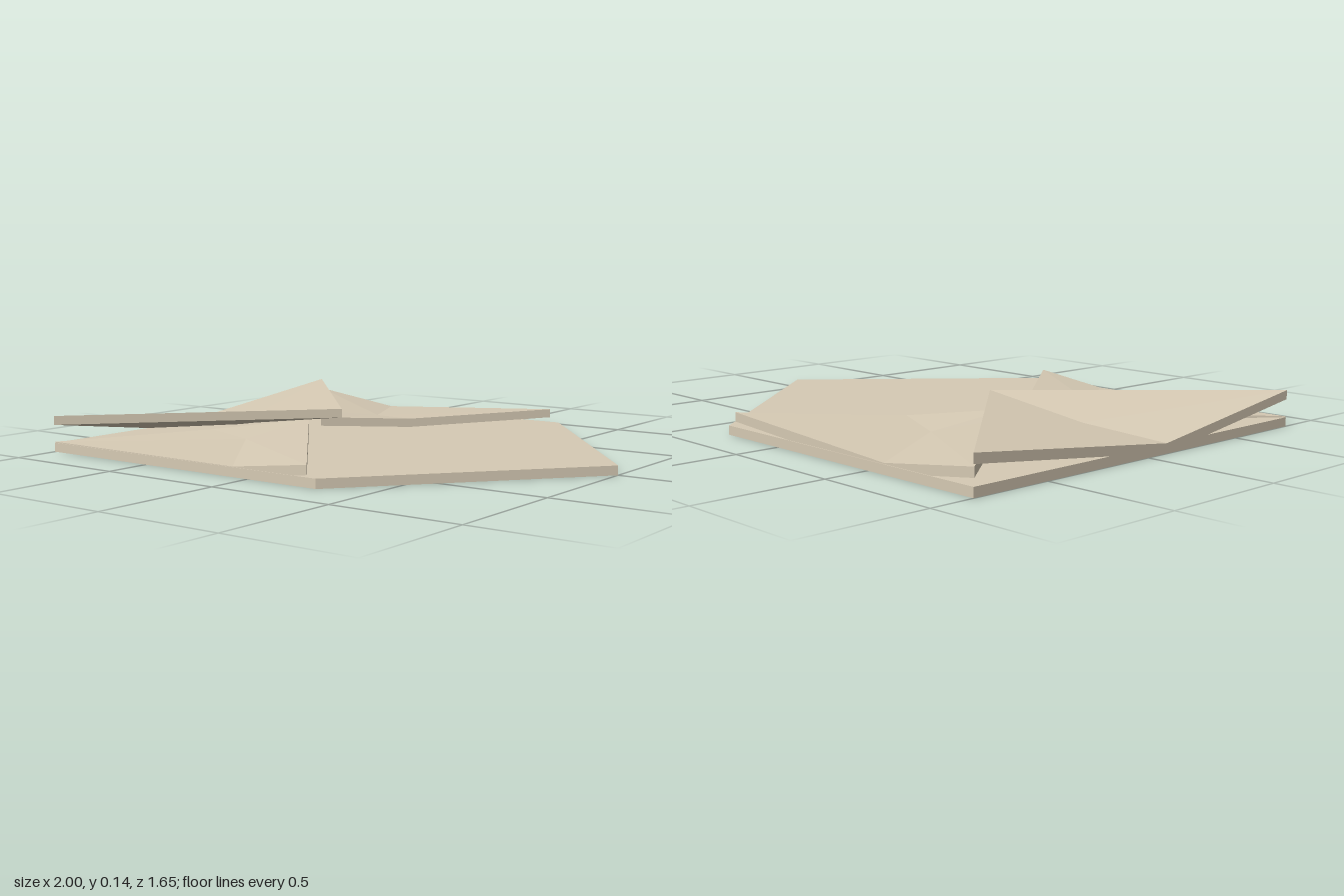
import * as THREE from 'three';

const T = 0.035; // paper thickness
const paper = new THREE.MeshStandardMaterial({ color: 0xd6cab4 });
paper.name = 'paper';
paper.flatShading = true;

// A sheet of even thickness: a fan from a centre point to an outline.
// Points are [x, y of the underside, z].
function sheet(name, outline, centre) {
  let area = 0;
  outline.forEach((a, i) => {
    const b = outline[(i + 1) % outline.length];
    area += a[2] * b[0] - a[0] * b[2];
  });
  const ring = area > 0 ? outline : [...outline].reverse();
  const up = ([x, y, z]) => [x, y + T, z];
  const pos = [];
  const tri = (a, b, c) => pos.push(...a, ...b, ...c);
  ring.forEach((a, i) => {
    const b = ring[(i + 1) % ring.length];
    tri(up(centre), up(a), up(b)); // upper face
    tri(centre, b, a); // underside
    tri(a, b, up(b)); // cut edge
    tri(a, up(b), up(a));
  });
  const geo = new THREE.BufferGeometry();
  geo.setAttribute('position', new THREE.Float32BufferAttribute(pos, 3));
  geo.computeVertexNormals();
  const mesh = new THREE.Mesh(geo, paper);
  mesh.name = name;
  return mesh;
}

export function createModel() {
  const group = new THREE.Group();
  group.name = 'openEnvelope';

  // Back sheet with the open pointed flap
  group.add(sheet('backSheet', [
    [-1, 0, 0.825], [0.305, 0, 0.825], [1, 0, 0], [0.305, 0, -0.825], [-1, 0, -0.825],
  ], [0, 0, 0]));

  // Side flaps, each creased around a low middle point
  group.add(sheet('frontSideFlap', [
    [-1, 0.004, 0.822], [-0.07, 0.002, 0.822], [0.265, 0.042, 0.822],
    [-0.32, 0.055, 0.1], [-0.37, 0.056, 0.04], [-0.62, 0.03, 0.35],
  ], [-0.37, 0.022, 0.42]));
  group.add(sheet('backSideFlap', [
    [-1, 0.062, -0.822], [-0.58, 0.004, -0.822], [0.265, 0.055, -0.822],
    [-0.13, 0.036, -0.335], [-0.37, 0.055, -0.04], [-0.5, 0.055, -0.2],
  ], [-0.37, 0.022, -0.43]));

  // Bottom flap on top, its fold dipping to the back sheet
  group.add(sheet('bottomFlap', [
    [-1, 0.105, 0.825], [-0.23, 0.105, 0], [-0.417, 0.105, -0.2],
    [-1, 0.105, -0.825], [-1, 0.002, 0.1],
  ], [-0.7, 0.045, 0]));

  return group;
}
